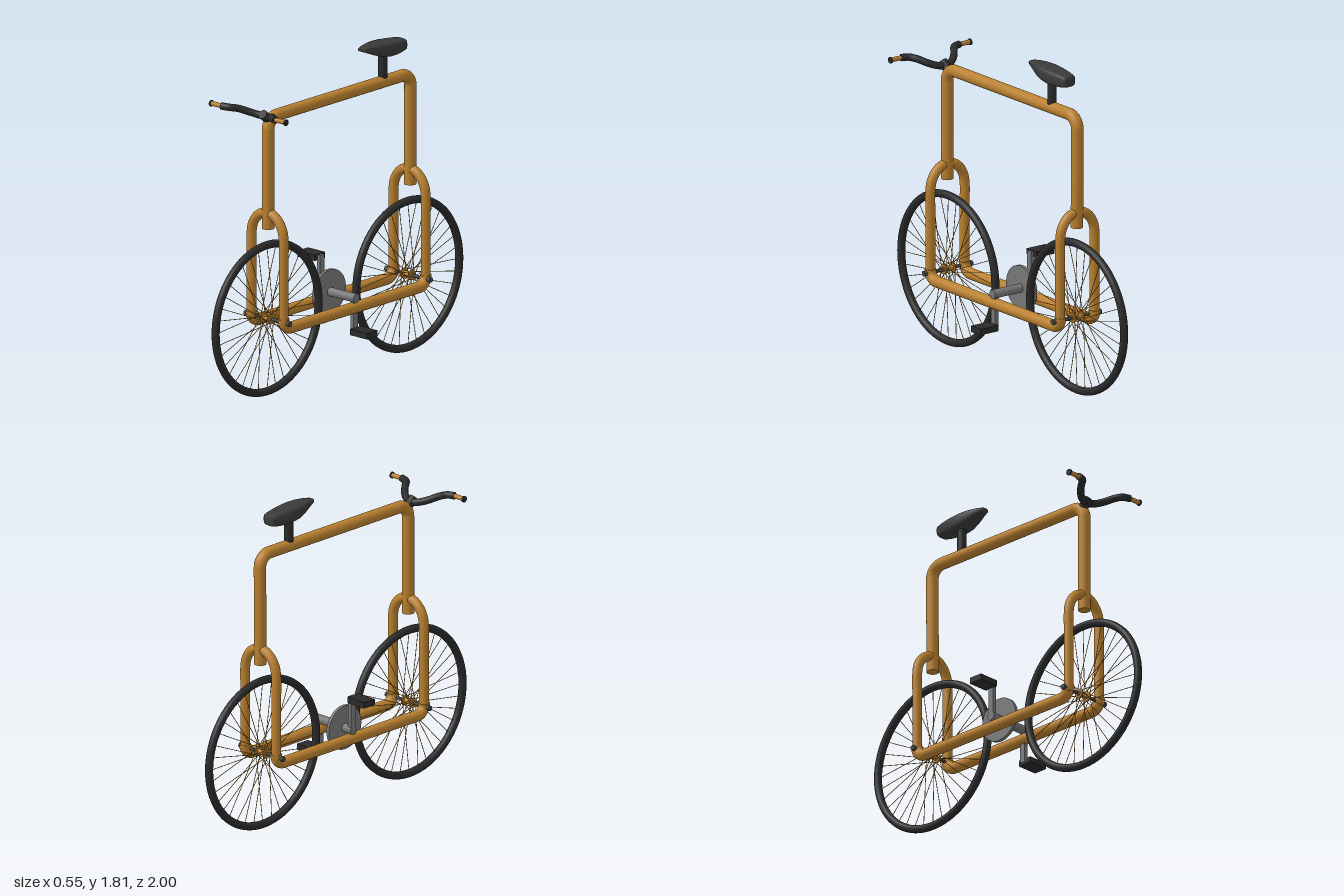
import * as THREE from 'three';
import { mergeGeometries } from 'three/addons/utils/BufferGeometryUtils.js';

const paint = (color) => new THREE.MeshStandardMaterial({ color });
const ORANGE = paint(0xb9802f), BLACK = paint(0x2a2a2a), DARK = paint(0x444444), STEEL = paint(0x777777);
const V = (x, y, z) => new THREE.Vector3(x, y, z);
const CX = 0.005; // the frame sits slightly off the wheel plane
const AXLE_Y = 0.44, FRONT_Z = 0.566, REAR_Z = -0.574;

function add(parent, name, geometry, material, x = 0, y = 0, z = 0) {
  const mesh = new THREE.Mesh(geometry, material);
  mesh.name = name;
  mesh.position.set(x, y, z);
  parent.add(mesh);
  return mesh;
}

// Cylinder lying between two points
function rod(a, b, radius, sides = 16) {
  const g = new THREE.CylinderGeometry(radius, radius, a.distanceTo(b), sides);
  const dir = b.clone().sub(a).normalize();
  g.applyQuaternion(new THREE.Quaternion().setFromUnitVectors(V(0, 1, 0), dir));
  return g.translate(...a.clone().add(b).multiplyScalar(0.5).toArray());
}

// Straight runs joined by rounded corners
function roundedPath(points, r) {
  const path = new THREE.CurvePath();
  let from = points[0];
  for (let i = 1; i < points.length - 1; i++) {
    const p = points[i];
    const toward = (q) => p.clone().add(q.clone().sub(p).normalize().multiplyScalar(r));
    const a = toward(points[i - 1]), b = toward(points[i + 1]);
    path.add(new THREE.LineCurve3(from, a));
    const k = 0.45;
    path.add(new THREE.CubicBezierCurve3(a, a.clone().lerp(p, 1 - k), b.clone().lerp(p, 1 - k), b));
    from = b;
  }
  path.add(new THREE.LineCurve3(from, points[points.length - 1]));
  return path;
}

// Tube with flat closed ends
function cappedTube(curve, radius, steps, sides = 20) {
  const parts = [new THREE.TubeGeometry(curve, steps, radius, sides)];
  for (const [t, s] of [[0, -1], [1, 1]]) {
    const cap = new THREE.CircleGeometry(radius, sides);
    const out = curve.getTangentAt(t).multiplyScalar(s);
    cap.applyQuaternion(new THREE.Quaternion().setFromUnitVectors(V(0, 0, 1), out));
    parts.push(cap.translate(...curve.getPointAt(t).toArray()));
  }
  return mergeGeometries(parts);
}

function makeWheel(name, z) {
  const wheel = new THREE.Group();
  wheel.name = name;
  wheel.position.set(0, AXLE_Y, z);
  add(wheel, 'tyre', new THREE.TorusGeometry(0.413, 0.022, 16, 72).rotateY(Math.PI / 2), BLACK);

  // Spokes leave alternate flanges, leaning alternately forward and back
  const spokes = [], count = 36;
  for (let i = 0; i < count; i++) {
    const a = (i / count) * Math.PI * 2;
    const lean = (i % 4 < 2 ? 1 : -1) * 1.0;
    const x = i % 2 ? 0.03 : -0.03;
    spokes.push(rod(V(x, 0.022 * Math.sin(a + lean), 0.022 * Math.cos(a + lean)),
      V(0, 0.4 * Math.sin(a), 0.4 * Math.cos(a)), 0.002, 5));
  }
  add(wheel, 'spokes', mergeGeometries(spokes), ORANGE);

  add(wheel, 'hub', rod(V(-0.04, 0, 0), V(0.04, 0, 0), 0.015), ORANGE);
  for (const s of [-1, 1]) {
    add(wheel, 'hubFlange', rod(V(s * 0.025, 0, 0), V(s * 0.035, 0, 0), 0.027), ORANGE);
    add(wheel, 'axleNut', rod(V(CX + s * 0.14, 0, 0), V(CX + s * 0.166, 0, 0), 0.015, 12), DARK);
  }
  add(wheel, 'axle', rod(V(CX - 0.16, 0, 0), V(CX + 0.16, 0, 0), 0.009), DARK);
  return wheel;
}

function makeFrame() {
  const frame = new THREE.Group();
  frame.name = 'frame';
  const main = [V(0.008, 0.95, FRONT_Z), V(0.008, 1.575, FRONT_Z), V(0.008, 1.575, REAR_Z - 0.004), V(0.008, 0.95, REAR_Z)];
  add(frame, 'mainTube', cappedTube(roundedPath(main, 0.07), 0.034, 160), ORANGE);

  for (const s of [-1, 1]) {
    const x = CX + s * 0.118;
    const rail = [V(x, 0.46, FRONT_Z), V(x, 0.4, FRONT_Z), V(x, 0.4, REAR_Z), V(x, 0.46, REAR_Z)];
    add(frame, 'lowerRail', cappedTube(roundedPath(rail, 0.055), 0.032, 120), ORANGE);
  }

  // Arched forks over each wheel
  for (const [name, z] of [['frontFork', FRONT_Z], ['rearFork', REAR_Z]]) {
    const points = [];
    for (const y of [0.42, 0.55, 0.68, 0.8]) points.push(V(CX - 0.118, y, z));
    for (let i = 0; i <= 8; i++) {
      const a = Math.PI * (1 - i / 8);
      points.push(V(CX + 0.118 * Math.cos(a), 0.9 + 0.137 * Math.sin(a), z));
    }
    for (const y of [0.8, 0.68, 0.55, 0.42]) points.push(V(CX + 0.118, y, z));
    add(frame, name, cappedTube(new THREE.CatmullRomCurve3(points), 0.027, 90), ORANGE);
  }
  return frame;
}

function makeHandlebar() {
  const bar = new THREE.Group();
  bar.name = 'handlebar';
  add(bar, 'stem', rod(V(CX, 1.56, 0.555), V(CX, 1.602, 0.607), 0.026), BLACK);
  const half = [[0.045, 1.59, 0.597], [0.09, 1.606, 0.628], [0.125, 1.624, 0.668], [0.155, 1.632, 0.705], [0.2, 1.634, 0.72]];
  const side = (s) => half.map(([x, y, z]) => V(CX + s * x, y, z));
  const points = [...side(-1).reverse(), V(CX, 1.585, 0.585), ...side(1)];
  add(bar, 'bar', cappedTube(new THREE.CatmullRomCurve3(points), 0.02, 64), BLACK);
  for (const s of [-1, 1]) {
    add(bar, 'grip', rod(V(CX + s * 0.195, 1.634, 0.718), V(CX + s * 0.272, 1.634, 0.718), 0.013), ORANGE);
    add(bar, 'gripEnd', rod(V(CX + s * 0.269, 1.634, 0.718), V(CX + s * 0.277, 1.634, 0.718), 0.018), BLACK);
  }
  return bar;
}

// Saddle lofted from rounded-box cross-sections: z, half width, top, bottom
function makeSaddle() {
  const sections = [
    [-0.18, 0.022, 1.802, 1.782], [-0.22, 0.036, 1.808, 1.768], [-0.27, 0.051, 1.811, 1.745],
    [-0.32, 0.06, 1.81, 1.727], [-0.37, 0.062, 1.807, 1.719], [-0.42, 0.059, 1.802, 1.718],
    [-0.47, 0.05, 1.797, 1.721], [-0.505, 0.042, 1.79, 1.727], [-0.512, 0.03, 1.782, 1.735],
  ];
  const sides = 20, pos = [], index = [];
  const soft = (v) => Math.sign(v) * Math.pow(Math.abs(v), 0.55);
  for (const [z, w, top, bottom] of sections) {
    for (let i = 0; i < sides; i++) {
      const a = (i / sides) * Math.PI * 2;
      pos.push(0.009 + w * soft(Math.cos(a)), (top + bottom) / 2 + ((top - bottom) / 2) * soft(Math.sin(a)), z);
    }
  }
  const last = (sections.length - 1) * sides;
  for (let r = 0; r < sections.length - 1; r++) {
    for (let i = 0; i < sides; i++) {
      const a = r * sides + i, b = r * sides + ((i + 1) % sides);
      index.push(a, b, a + sides, b, b + sides, a + sides);
    }
  }
  for (let i = 1; i < sides - 1; i++) index.push(0, i, i + 1, last, last + i + 1, last + i);
  // Each triple runs clockwise seen from +z outward on the sides, so flip the walls only
  const walls = (sections.length - 1) * sides * 6;
  for (let i = 0; i < walls; i += 3) [index[i + 1], index[i + 2]] = [index[i + 2], index[i + 1]];
  const g = new THREE.BufferGeometry();
  g.setAttribute('position', new THREE.Float32BufferAttribute(pos, 3));
  g.setIndex(index);
  g.computeVertexNormals();
  return g;
}

function makeCrankset() {
  const set = new THREE.Group();
  set.name = 'crankset';
  set.position.y = 0.455;
  add(set, 'spindle', rod(V(-0.135, 0, 0), V(0.14, 0, 0), 0.025, 24), STEEL);
  add(set, 'chainring', rod(V(-0.071, 0, 0), V(-0.052, 0, 0), 0.125, 48), STEEL);
  for (const s of [-1, 1]) {
    add(set, 'crankArm', new THREE.BoxGeometry(0.024, 0.2, 0.036), STEEL, s * 0.123, -s * 0.095, 0);
    add(set, 'pedal', new THREE.BoxGeometry(0.125, 0.034, 0.084), BLACK, s * 0.192, -s * 0.183, 0);
  }
  return set;
}

export function createModel() {
  const bike = new THREE.Group();
  bike.name = 'bicycle';
  bike.add(makeWheel('frontWheel', 0.565), makeWheel('rearWheel', -0.565));
  bike.add(makeFrame(), makeHandlebar(), makeCrankset());
  add(bike, 'seatPost', new THREE.CylinderGeometry(0.025, 0.025, 0.15, 16), BLACK, 0.008, 1.665, -0.355);
  add(bike, 'saddle', makeSaddle(), paint(0x3a3a3a));
  return bike;
}
